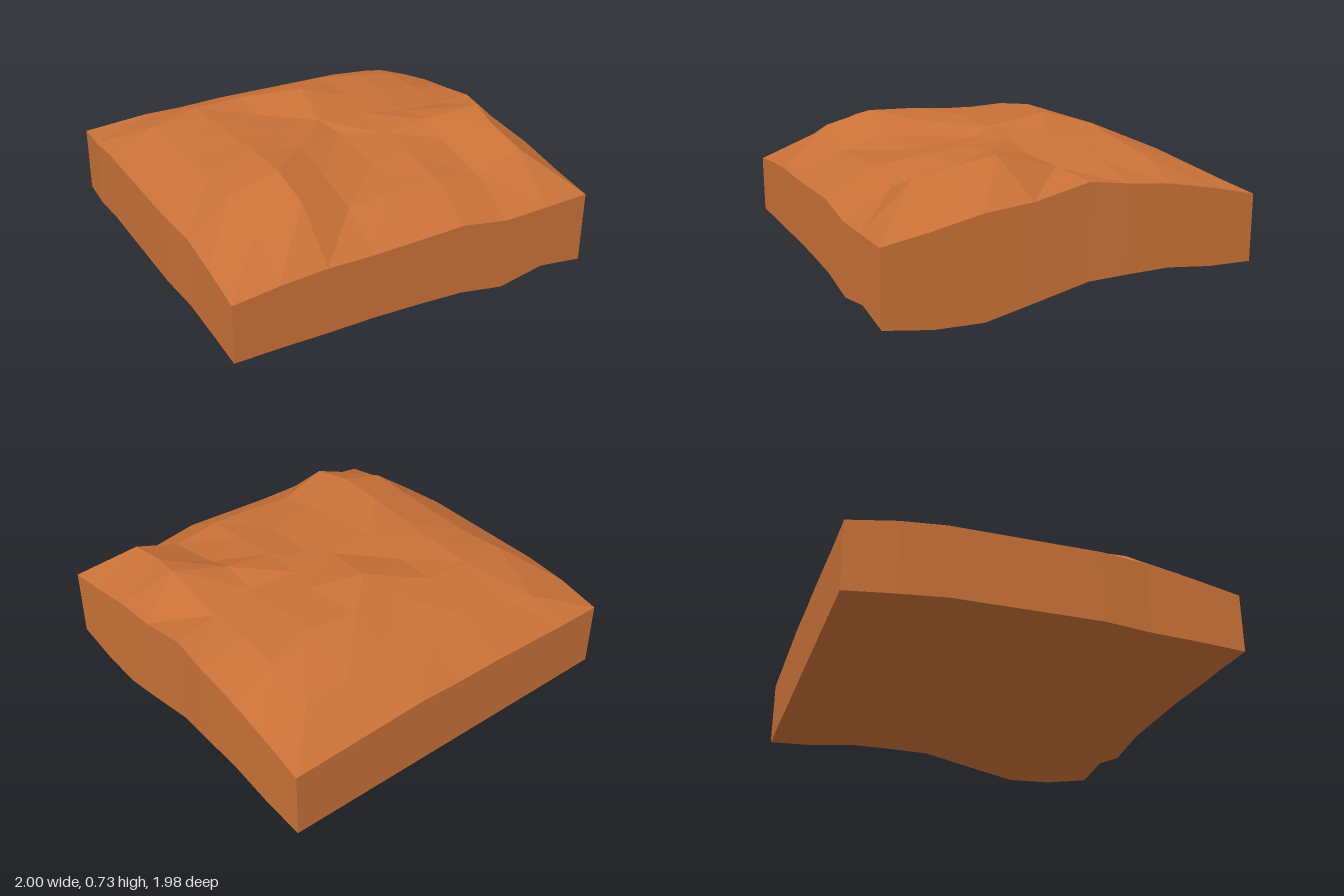
import * as THREE from 'three';

const N = 8; // cells per side

// Surface heights in hundredths: rows run back to front, columns run -x to +x
const HEIGHTS = [
  [43, 43, 44, 45, 45, 46, 45, 44, 43],
  [46, 54, 57, 58, 58, 58, 58, 56, 49],
  [48, 62, 66, 67, 68, 69, 68, 63, 54],
  [48, 62, 67, 66, 73, 68, 67, 63, 57],
  [48, 62, 68, 68, 67, 66, 64, 62, 60],
  [48, 63, 70, 67, 63, 64, 67, 72, 54],
  [47, 64, 71, 62, 60, 62, 62, 69, 52],
  [43, 55, 65, 56, 58, 59, 55, 64, 47],
  [38, 41, 43, 43, 44, 45, 41, 42, 43],
];

// Underside rim heights
const RIM = {
  front: [0.075, 0.08, 0.08, 0.085, 0.08, 0.07, 0.03, 0.08, 0.05],
  left: [0.075, 0.085, 0.115, 0.115, 0.11, 0.05, 0, 0.01, 0.05],
  right: [0.075, 0.09, 0.11, 0.11, 0.11, 0.11, 0.1, 0.09, 0.075],
};

// Irregular vertices: "row,column" -> [x, z]
const SHIFTED = {
  '1,1': [-0.68, -0.81], '2,1': [-0.78, -0.45], '2,6': [0.5, -0.45],
  '3,4': [0.05, -0.31], '3,5': [0.3, -0.17], '4,6': [0.5, 0.04],
  '5,4': [0.05, 0.1], '5,7': [0.78, 0.33], '6,4': [0.04, 0.48], '6,6': [0.5, 0.4],
  '4,8': [0.995, -0.05], '4,4': [0, 0],
};

function topPoint(r, c) {
  const [x, z] = SHIFTED[`${r},${c}`] ?? [(c / N) * 2 - 1, ((r / N) * 2 - 1) * 0.99];
  const cornerInset = c === 0 && (r === 0 || r >= 6) ? 0.02 : 0;
  return new THREE.Vector3(x + cornerInset, HEIGHTS[r][c] / 100, z);
}

function basePoint(r, c) {
  const p = topPoint(r, c);
  if (r === N) p.y = RIM.front[c];
  else if (c === N) p.y = RIM.left[r];
  else if (c === 0) p.y = RIM.right[r];
  else p.y = r === 0 ? 0.075 : 0.08;
  return p;
}

// Quads with corners counter-clockwise; flip picks the other diagonal
function quadMesh(name, quads, material) {
  const pts = [];
  for (const [a, b, c, d, flip] of quads) {
    pts.push(...(flip ? [a, b, d, b, c, d] : [a, b, c, a, c, d]));
  }
  const geometry = new THREE.BufferGeometry().setFromPoints(pts);
  geometry.computeVertexNormals();
  const mesh = new THREE.Mesh(geometry, material);
  mesh.name = name;
  return mesh;
}

export function createModel() {
  const group = new THREE.Group();
  group.name = 'terrainBlock';
  const soil = new THREE.MeshStandardMaterial({ color: 0xc87137, flatShading: true });

  // Hilly surface and underside
  const surface = [], underside = [];
  for (let r = 0; r < N; r++) {
    for (let c = 0; c < N; c++) {
      const flip = (r < N / 2) !== (c < N / 2);
      surface.push([topPoint(r, c), topPoint(r + 1, c), topPoint(r + 1, c + 1), topPoint(r, c + 1), flip]);
      underside.push([basePoint(r, c), basePoint(r, c + 1), basePoint(r + 1, c + 1), basePoint(r + 1, c)]);
    }
  }
  group.add(quadMesh('groundSurface', surface, soil));
  group.add(quadMesh('underside', underside, soil));

  // Four cut walls, each walked left to right as seen from outside
  const walls = {
    frontWall: (i) => [N, i],
    leftWall: (i) => [N - i, N],
    backWall: (i) => [0, N - i],
    rightWall: (i) => [i, 0],
  };
  for (const [name, cell] of Object.entries(walls)) {
    const quads = [];
    for (let i = 0; i < N; i++) {
      const a = cell(i), b = cell(i + 1);
      quads.push([basePoint(...a), basePoint(...b), topPoint(...b), topPoint(...a)]);
    }
    group.add(quadMesh(name, quads, soil));
  }
  return group;
}
